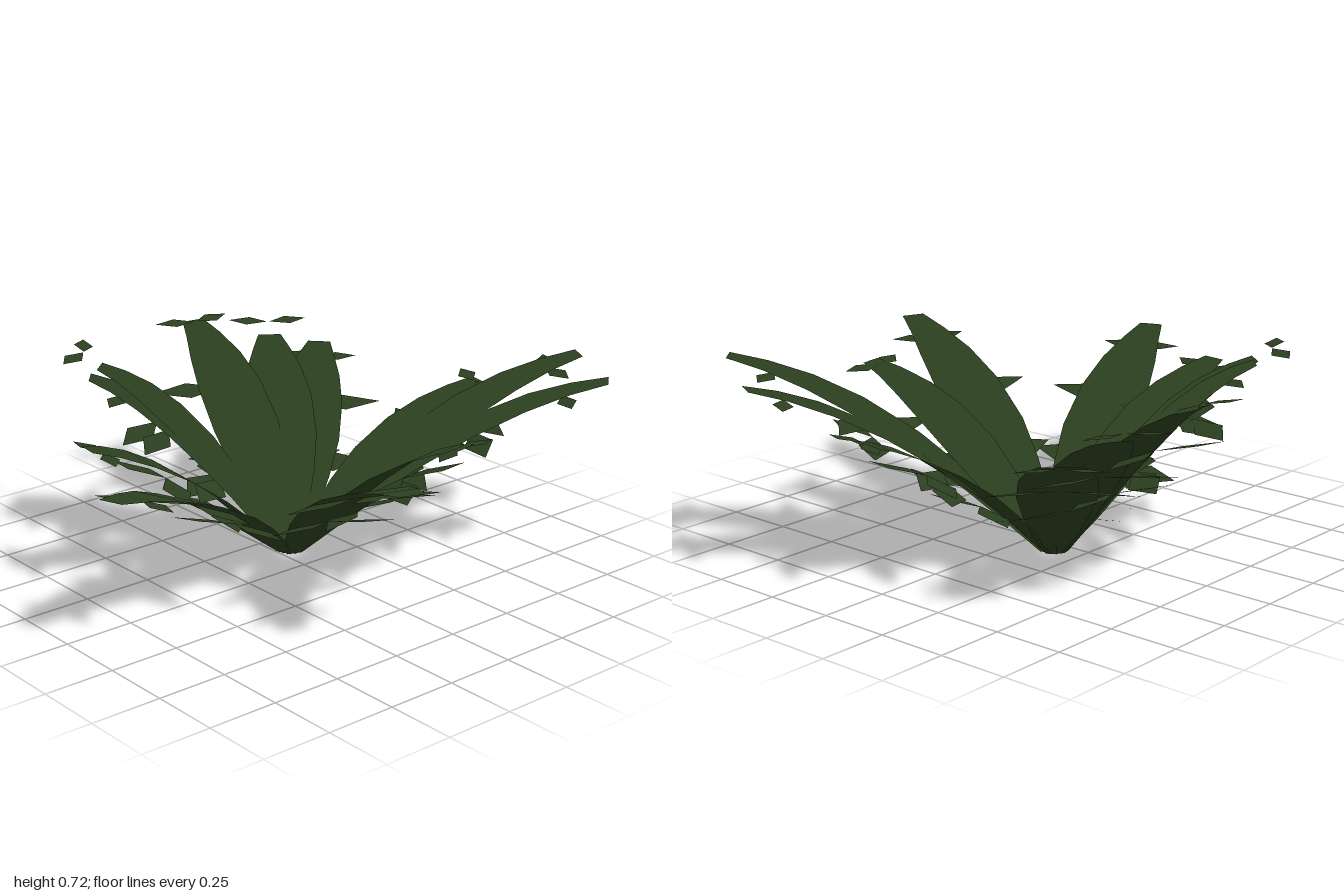
import * as THREE from 'three';

const CENTER = new THREE.Vector3(-0.14, 0, -0.055);
const BASE_RADIUS = 0.043;

// Tip x, tip z, tip height, then distance from the centre of the three thorn pairs
const LEAVES = [
  [0.365, -0.98, 0.67, 0.41, 0.67, 0.95],
  [0.69, -0.77, 0.69, 0.41, 0.67, 0.96],
  [0.62, -0.17, 0.57, 0.33, 0.54, 0.75],
  [0.895, 0.33, 0.61, 0.41, 0.66, 0.96],
  [0.245, 0.98, 0.56, 0.4, 0.67, 0.96],
  [-0.225, 0.745, 0.545, 0.33, 0.54, 0.76],
  [-0.585, 0.48, 0.65, 0.28, 0.46, 0.6],
  [-0.64, 0.4, 0.66, 0.3, 0.51, 0.75],
  [-0.86, -0.18, 0.67, 0.32, 0.53, 0.73],
  [-0.735, -0.45, 0.59, 0.32, 0.54, 0.78],
  [-0.67, -0.645, 0.54, 0.33, 0.55, 0.72],
  [0.025, -0.82, 0.52, 0.33, 0.55, 0.78],
];

// Fraction along the leaf and half width there
const WIDTHS = [[0, 0.028], [0.12, 0.08], [0.25, 0.112], [0.4, 0.133], [0.58, 0.128], [0.74, 0.103], [0.88, 0.07], [1, 0.043]];

// Thorn tip distance from the midrib, length, half width, upward tilt
const THORNS = [
  { reach: 0.23, size: 0.25, halfWidth: 0.06, tilt: 0.32 },
  { reach: 0.262, size: 0.27, halfWidth: 0.051, tilt: 0.25 },
  { reach: 0.15, size: 0.148, halfWidth: 0.034, tilt: 0.15 },
];

const arch = (u) => u * (1.65 - 0.65 * u);

// Flat blade running along +x, rising in an arch, shaded evenly from above
function bladeGeometry(length, height) {
  const positions = [];
  const normals = [];
  const index = [];
  WIDTHS.forEach(([u, w], i) => {
    const x = BASE_RADIUS + u * (length - BASE_RADIUS);
    const y = height * arch(u);
    positions.push(x, y, -w, x, y, w);
    normals.push(0, 1, 0, 0, 1, 0);
    if (i === 0) return;
    const a = (i - 1) * 2;
    index.push(a, a + 1, a + 2, a + 1, a + 3, a + 2);
  });
  const geometry = new THREE.BufferGeometry();
  geometry.setAttribute('position', new THREE.Float32BufferAttribute(positions, 3));
  geometry.setAttribute('normal', new THREE.Float32BufferAttribute(normals, 3));
  geometry.setIndex(index);
  return geometry;
}

export function createModel() {
  const plant = new THREE.Group();
  plant.name = 'thornyPlant';
  const green = new THREE.MeshStandardMaterial({ color: 0x2b3f1f, side: THREE.DoubleSide });
  green.name = 'darkLeafGreen';
  // Thin flat diamond lying in the horizontal plane
  const thornGeometry = new THREE.CircleGeometry(1, 4).rotateX(-Math.PI / 2);

  for (const [tipX, tipZ, height, ...thornDistances] of LEAVES) {
    const dx = tipX - CENTER.x;
    const dz = tipZ - CENTER.z;
    const length = Math.hypot(dx, dz);
    const leaf = new THREE.Group();
    leaf.name = 'leaf';
    leaf.position.copy(CENTER);
    leaf.rotation.y = -Math.atan2(dz, dx);

    const blade = new THREE.Mesh(bladeGeometry(length, height), green);
    blade.name = 'leafBlade';
    leaf.add(blade);

    // Mirrored thorn pairs, swept slightly toward the tip; the lower two sit behind the blade
    const tipThornU = (thornDistances[2] - BASE_RADIUS) / (length - BASE_RADIUS);
    const thornHeights = [0.41, 0.7, 0.35 + 0.65 * tipThornU];
    THORNS.forEach(({ reach, size, halfWidth, tilt }, i) => {
      for (const side of [-1, 1]) {
        const thorn = new THREE.Mesh(thornGeometry, green);
        thorn.name = 'thorn';
        thorn.scale.set(halfWidth, 1, size / 2);
        thorn.rotation.set(0, side * 0.25, tilt);
        thorn.position.set(thornDistances[i], height * thornHeights[i], side * (reach - size / 2));
        leaf.add(thorn);
      }
    });
    plant.add(leaf);
  }
  return plant;
}
